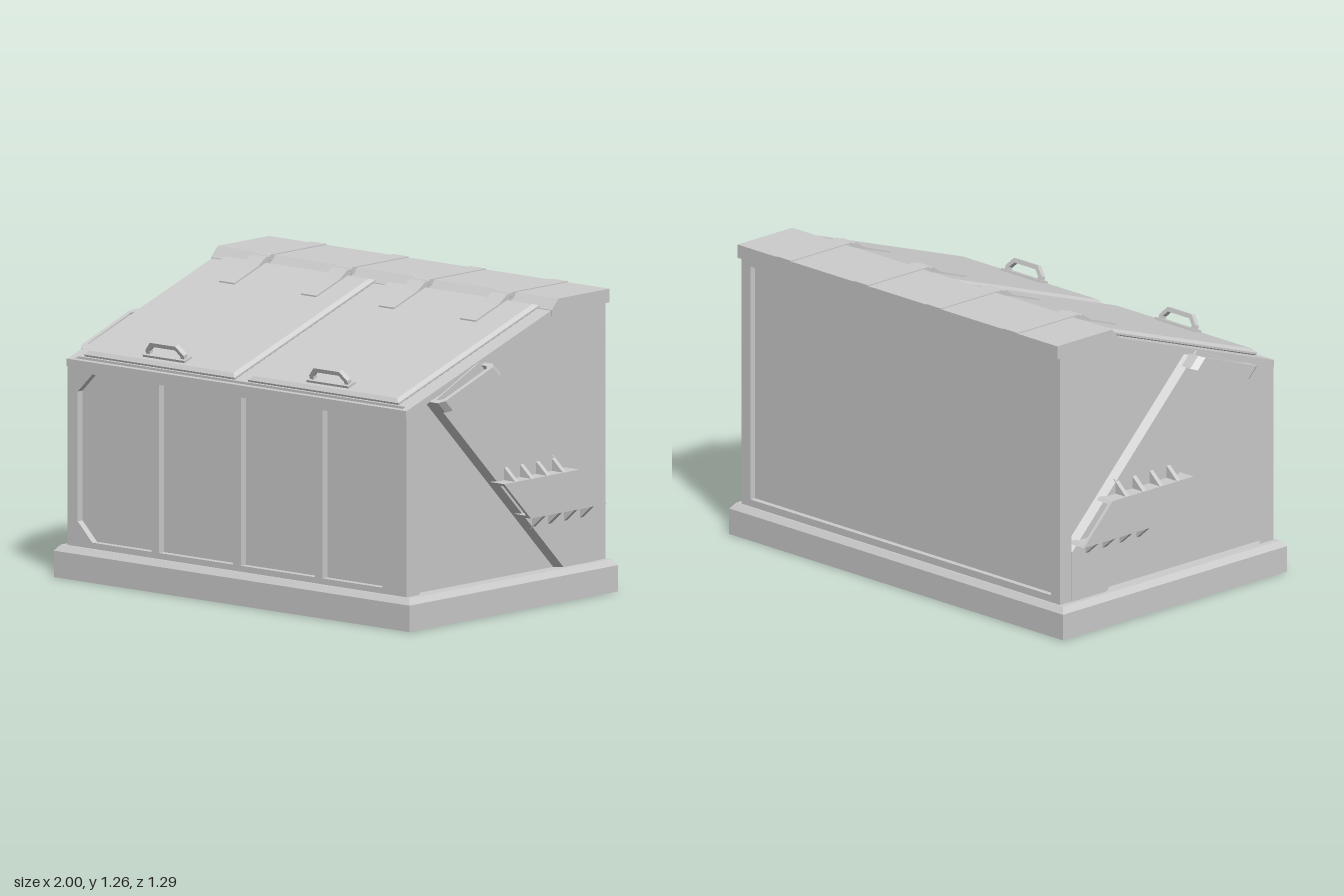
import * as THREE from 'three';
import { ConvexGeometry } from 'three/addons/geometries/ConvexGeometry.js';

const material = new THREE.MeshStandardMaterial({ color: 0xcccccc, flatShading: true });
const shapeOf = (pts) => new THREE.Shape(pts.map(([x, y]) => new THREE.Vector2(x, y)));

function add(parent, name, geometry) {
  const mesh = new THREE.Mesh(geometry, material);
  mesh.name = name;
  parent.add(mesh);
  return mesh;
}

function box(x0, x1, y0, y1, z0, z1) {
  return new THREE.BoxGeometry(x1 - x0, y1 - y0, z1 - z0)
    .translate((x0 + x1) / 2, (y0 + y1) / 2, (z0 + z1) / 2);
}

function plate(pts, depth, holes = []) {
  const shape = shapeOf(pts);
  holes.forEach((h) => shape.holes.push(shapeOf(h)));
  return new THREE.ExtrudeGeometry(shape, { depth, bevelEnabled: false });
}

// side outline given as [z, y], extruded along x
function prism(pts, x0, x1, holes = []) {
  const flip = (list) => list.map(([z, y]) => [-z, y]);
  return plate(flip(pts), x1 - x0, holes.map(flip)).rotateY(Math.PI / 2).translate(x0, 0, 0);
}

// applies a matrix and keeps faces outward when it mirrors
function transformed(geometry, matrix) {
  const g = geometry.index ? geometry.toNonIndexed() : geometry.clone();
  g.applyMatrix4(matrix);
  if (matrix.determinant() < 0) {
    const p = g.attributes.position;
    const a = new THREE.Vector3(), b = new THREE.Vector3();
    for (let i = 0; i < p.count; i += 3) {
      a.fromBufferAttribute(p, i + 1);
      b.fromBufferAttribute(p, i + 2);
      p.setXYZ(i + 1, b.x, b.y, b.z);
      p.setXYZ(i + 2, a.x, a.y, a.z);
    }
  }
  g.computeVertexNormals();
  return g;
}

const rect = (x0, x1, y0, y1) => [[x0, y0], [x1, y0], [x1, y1], [x0, y1]];

// parts of one side, built on +x
function sideParts() {
  const parts = [];
  parts.push(['sideFrame', prism(
    [[0.61, 0.12], [0.61, 0.91], [-0.32, 1.225], [-0.615, 1.225], [-0.615, 0.12]], 0.9, 0.932,
    [[[0.53, 0.125], [0.53, 0.907], [-0.33, 1.2], [-0.55, 1.2], [-0.55, 0.125]]])]);

  // raised diagonal band with bevelled long edges
  const bandAt = (x, i) => [[0.47 - i, 0.93], [0.14 + i, 1.055], [-0.55, 0.375 - i],
    [-0.55, 0.12], [-0.34 - i, 0.12]].map(([z, y]) => new THREE.Vector3(x, y, z));
  parts.push(['diagonalBand', new ConvexGeometry([...bandAt(0.895, 0), ...bandAt(0.936, 0.027)])]);

  // upper hoop, swept a short way down the diagonal
  const hoop = plate([[0, 0.93], [0, 0.98], [0.07, 1], [0.93, 1], [1, 0.98], [1, 0.93],
    [0.93, 0.93], [0.93, 0.965], [0.88, 0.98], [0.12, 0.98], [0.07, 0.965], [0.07, 0.93]], 1);
  const shear = new THREE.Matrix4().makeBasis(new THREE.Vector3(0, 0.12, -0.34),
    new THREE.Vector3(1, 0, 0), new THREE.Vector3(0, -0.045, -0.045)).setPosition(0, 0.93, 0.47);
  parts.push(['upperHoop', transformed(hoop, shear)]);

  // slanted lifting pocket, open at both ends
  const strip = (y0, y1) => [[y0 - 0.46, y0], [y1 - 0.46, y1], [y1 - 0.925, y1], [y0 - 0.925, y0]];
  parts.push(['pocketOuterWall', prism(strip(0.38, 0.545), 0.985, 1)]);
  parts.push(['pocketTopWall', prism(strip(0.533, 0.545), 0.92, 0.985)]);
  parts.push(['pocketBottomWall', prism(strip(0.38, 0.392), 0.92, 0.985)]);
  for (let i = 0; i < 4; i++) {
    const z = 0.003 - 0.098 * i;
    parts.push(['upperGusset', plate([[0.925, 0.544], [0.997, 0.544], [0.925, 0.607]], 0.02)
      .translate(0, 0, z - 0.01)]);
    parts.push(['lowerGusset', plate([[0.925, 0.381], [0.925, 0.318], [0.997, 0.381]], 0.02)
      .translate(0, 0, z - 0.182)]);
  }
  return parts;
}

export function createModel() {
  const model = new THREE.Group();
  model.name = 'storageBin';

  // plinth with a chamfered top edge
  const ring = (x, z, y) => [[x, z], [-x, z], [x, -z], [-x, -z]].map(([a, b]) => new THREE.Vector3(a, y, b));
  add(model, 'base', new ConvexGeometry(
    [...ring(0.977, 0.643, 0), ...ring(0.977, 0.643, 0.11), ...ring(0.957, 0.623, 0.135)]));

  // body with a sloping top
  add(model, 'body', prism(
    [[0.58, 0.12], [0.58, 0.92], [-0.32, 1.225], [-0.59, 1.225], [-0.59, 0.12]], -0.9, 0.9));

  // front frame: four openings, outer corners cut
  const c = 0.08;
  const outer = [[0.47, 0.16], [0.875 - c, 0.16], [0.875, 0.16 + c], [0.875, 0.86 - c], [0.875 - c, 0.86], [0.47, 0.86]];
  add(model, 'frontFrame', plate(rect(-0.9, 0.9, 0.12, 0.91), 0.03, [
    outer, outer.map(([x, y]) => [-x, y]).reverse(),
    rect(0.022, 0.428, 0.16, 0.86), rect(-0.428, -0.022, 0.16, 0.86),
  ]).translate(0, 0, 0.58));
  add(model, 'frontTopRail', box(-0.932, 0.932, 0.88, 0.911, 0.6, 0.614));

  // back frame
  add(model, 'backFrame', plate(rect(-0.9, 0.9, 0.12, 1.22), 0.026,
    [rect(-0.88, 0.88, 0.165, 1.17)]).translate(0, 0, -0.615));

  // top cap overhanging the back
  add(model, 'topCap', prism(
    [[-0.28, 1.19], [-0.28, 1.214], [-0.32, 1.257], [-0.635, 1.257], [-0.635, 1.2], [-0.6, 1.2]], -0.936, 0.936));

  // both sides
  const mirror = new THREE.Matrix4().makeScale(-1, 1, 1);
  for (const [name, geometry] of sideParts()) {
    add(model, name, geometry);
    add(model, name, transformed(geometry, mirror));
  }

  // lids and handles lie on the slope
  const roof = new THREE.Group();
  roof.name = 'slopingTop';
  roof.position.set(0, 0.91, 0.61);
  roof.rotation.x = Math.atan2(0.315, 0.93);
  model.add(roof);

  for (const s of [-1, 1]) {
    const lid = new THREE.ExtrudeGeometry(shapeOf(rect(-0.395, 0.395, 0.05, 0.93)), {
      depth: 0.008, bevelThickness: 0.012, bevelSize: 0.018, bevelSegments: 1 });
    add(roof, 'lid', lid.rotateX(-Math.PI / 2).translate(s * 0.45, 0.004, 0));

    add(roof, 'handlePlate', box(s * 0.45 - 0.115, s * 0.45 + 0.115, 0.02, 0.034, -0.112, -0.066));
    const grip = plate([[-0.105, 0.03], [-0.105, 0.05], [-0.07, 0.088], [0.07, 0.088], [0.105, 0.05], [0.105, 0.03],
      [0.085, 0.03], [0.085, 0.046], [0.062, 0.07], [-0.062, 0.07], [-0.085, 0.046], [-0.085, 0.03]], 0.022);
    add(roof, 'handle', grip.translate(s * 0.45, 0, -0.1));

    // hinges: leaf on the lid, pin, strap over the cap
    for (const x of [0.213, 0.663]) {
      const cx = s * x;
      add(model, 'hingeLeaf', prism([[-0.07, 1.155], [-0.07, 1.172], [-0.215, 1.222], [-0.262, 1.254],
        [-0.29, 1.254], [-0.29, 1.225]], cx - 0.043, cx + 0.043));
      add(model, 'hingePin', new THREE.CylinderGeometry(0.015, 0.015, 0.09, 12)
        .rotateZ(Math.PI / 2).translate(cx, 1.247, -0.295));
      add(model, 'hingeStrap', box(cx - 0.043, cx + 0.043, 1.25, 1.261, -0.637, -0.298));
    }
  }
  return model;
}
